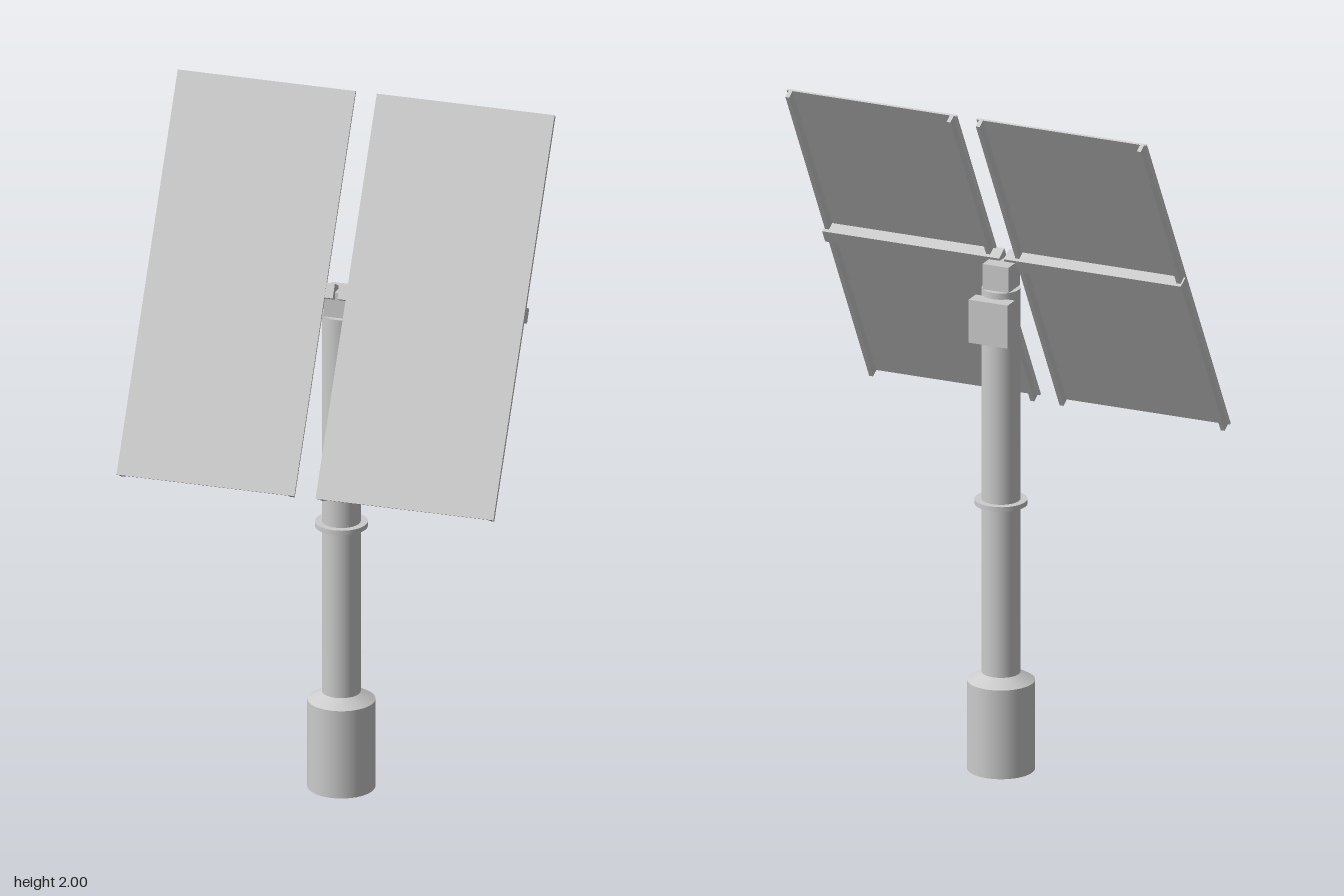
import * as THREE from 'three';

const material = new THREE.MeshStandardMaterial({ color: 0xcccccc });
const AXIS_Z = -0.042; // the post stands slightly behind the centre
const TILT = -29 * Math.PI / 180;

function add(parent, name, geometry, x, y, z) {
  const mesh = new THREE.Mesh(geometry, material);
  mesh.name = name;
  mesh.position.set(x, y, z);
  parent.add(mesh);
  return mesh;
}

// Upright round section between two heights
function round(parent, name, rBottom, rTop, y0, y1) {
  const geometry = new THREE.CylinderGeometry(rTop, rBottom, y1 - y0, 40);
  return add(parent, name, geometry, 0, (y0 + y1) / 2, AXIS_Z);
}

const box = (w, h, d) => new THREE.BoxGeometry(w, h, d);

export function createModel() {
  const model = new THREE.Group();
  model.name = 'solarTracker';

  // Footing, post and collar
  round(model, 'footing', 0.095, 0.095, 0, 0.262);
  round(model, 'footingShoulder', 0.095, 0.054, 0.262, 0.285);
  round(model, 'post', 0.054, 0.054, 0.285, 1.42);
  round(model, 'collar', 0.074, 0.074, 0.782, 0.796);

  // Pivot head on the post and control box behind it
  add(model, 'pivotHead', box(0.08, 0.075, 0.075), 0, 1.457, AXIS_Z);
  add(model, 'controlBox', box(0.12, 0.127, 0.047), 0, 1.338, -0.104);

  // Tilted array: local z = 0 is the glass face
  const array = new THREE.Group();
  array.name = 'panelArray';
  array.position.set(0, 1.495, 0.011);
  array.rotation.x = TILT;
  model.add(array);

  for (const side of [1, -1]) {
    const wing = new THREE.Group();
    wing.name = side > 0 ? 'leftWing' : 'rightWing';
    array.add(wing);

    add(wing, 'panel', box(0.52, 1.146, 0.006), side * 0.291, 0, -0.003);
    add(wing, 'crossBeam', box(0.543, 0.042, 0.04), side * 0.2785, 0.01, -0.021);
    // Edge rails along the back of the panel
    for (const x of [0.045, 0.539]) {
      add(wing, 'rail', box(0.012, 1.146, 0.026), side * x, 0, -0.018);
    }
  }
  return model;
}
